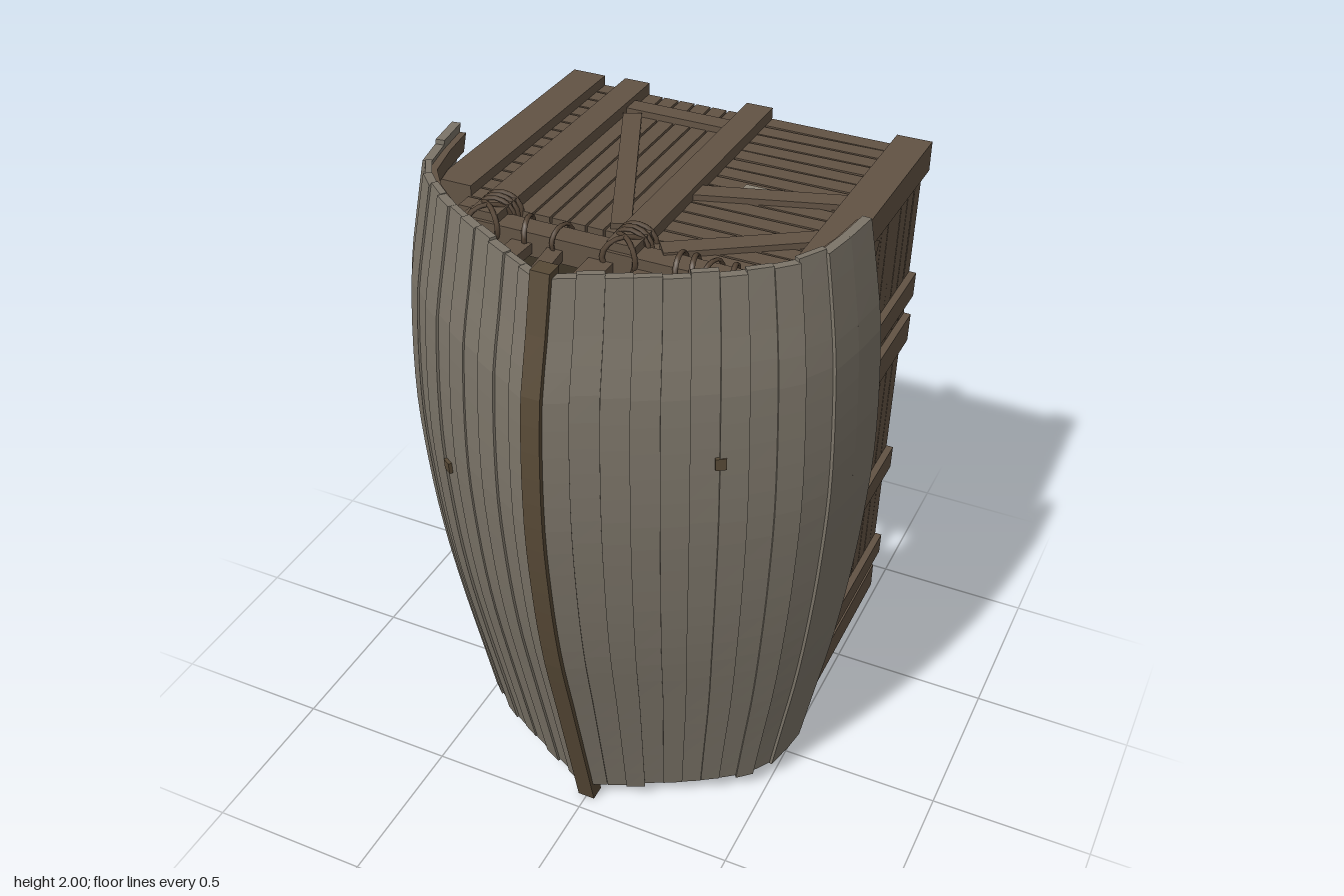
import * as THREE from 'three';

const mat = (name, color) => Object.assign(new THREE.MeshStandardMaterial({ color }), { name });

// Smooth (cubic Hermite) lookup in rows of [key, value...]
function lookup(rows, t, col) {
  let i = 0;
  while (i < rows.length - 2 && t > rows[i + 1][0]) i++;
  const slope = k => {
    const a = rows[Math.max(k - 1, 0)], b = rows[Math.min(k + 1, rows.length - 1)];
    return (b[col] - a[col]) / (b[0] - a[0]);
  };
  const a = rows[i], b = rows[i + 1], d = b[0] - a[0], u = (t - a[0]) / d;
  const h = u * u * (3 - 2 * u);
  return a[col] * (1 - h) + b[col] * h + d * u * (1 - u) * ((1 - u) * slope(i) - u * slope(i + 1));
}

// Hull: height, half width, keel front
const HULL = [[0, 0.52, 0.45], [0.25, 0.565, 0.51], [0.5, 0.61, 0.57], [0.75, 0.645, 0.63], [1, 0.67, 0.67],
  [1.3, 0.685, 0.695], [1.65, 0.67, 0.68], [1.82, 0.645, 0.64], [2, 0.612, 0.6]];
// Plan section from back edge to keel: arc length, x, z
const SECTION = [[0.685, -0.03], [0.668, 0.1], [0.636, 0.24], [0.568, 0.33], [0.46, 0.425], [0.34, 0.505], [0.2, 0.588], [0.02, 0.685]]
  .reduce((out, [x, z]) => {
    const p = out[out.length - 1];
    out.push([p ? p[0] + Math.hypot(x - p[1], z - p[2]) : 0, x, z]);
    return out;
  }, []);
const LENGTH = SECTION[SECTION.length - 1][0];

function hullPoint(t, y) {
  const sx = lookup(HULL, y, 1) / 0.685, sz = (lookup(HULL, y, 2) + 0.03) / 0.725;
  return [lookup(SECTION, t, 1) * sx, -0.03 + (lookup(SECTION, t, 2) + 0.03) * sz];
}

// Depth at which the hull narrows to half width x
function hullDepth(x, y) {
  let t = 0;
  while (t < LENGTH && hullPoint(t, y)[0] > x) t += 0.01;
  return hullPoint(t, y)[1];
}

// Flat-shaded solid through four-cornered rings stacked upward
function loft(rings) {
  const v = [];
  const quad = (a, b, c, d) => v.push(...a, ...b, ...c, ...a, ...c, ...d);
  for (let j = 0; j < rings.length - 1; j++)
    for (let i = 0; i < 4; i++) {
      const n = (i + 1) % 4;
      quad(rings[j][i], rings[j][n], rings[j + 1][n], rings[j + 1][i]);
    }
  quad(...rings[rings.length - 1]);
  quad(...[...rings[0]].reverse());
  const g = new THREE.BufferGeometry();
  g.setAttribute('position', new THREE.Float32BufferAttribute(v, 3));
  g.computeVertexNormals();
  return g;
}

const steps = (y0, y1, n) => Array.from({ length: n + 1 }, (_, i) => y0 + (y1 - y0) * i / n);

// Curved board on the hull between arc lengths a and b
function hullBoard(side, a, b, outer, inner, y0, y1) {
  return loft(steps(y0, y1, Math.ceil((y1 - y0) / 0.08)).map(y => {
    const p = hullPoint(a, y), q = hullPoint(b, y);
    const dx = q[0] - p[0], dz = q[1] - p[1], l = Math.hypot(dx, dz);
    const at = (c, o) => [side * (c[0] + dz / l * o), y, c[1] - dx / l * o];
    const ring = [at(q, outer), at(p, outer), at(p, inner), at(q, inner)];
    return side > 0 ? ring : ring.reverse();
  }));
}

export function createModel() {
  const model = new THREE.Group();
  model.name = 'boatBowCrate';
  const grey = mat('weatheredGrey', 0x7b7468), wood = mat('brownWood', 0x625344);
  const keelWood = mat('keelWood', 0x574936), liner = mat('oliveWood', 0x60543f);
  const ropeMat = mat('rope', 0x554536), pale = mat('paleWood', 0x8d8678);
  let seed = 7;
  const rand = () => (seed = (seed * 16807) % 2147483647) / 2147483647;
  const group = (name, parent = model) => {
    const g = new THREE.Group();
    g.name = name;
    parent.add(g);
    return g;
  };
  const add = (parent, name, geo, m) => {
    const mesh = new THREE.Mesh(geo, m);
    mesh.name = name;
    parent.add(mesh);
    return mesh;
  };
  const box = (parent, name, w, h, d, x, y, z, m = wood) => {
    const mesh = add(parent, name, new THREE.BoxGeometry(w, h, d), m);
    mesh.position.set(x, y, z);
    return mesh;
  };
  // Board lying flat from one plan point to another
  const flatBoard = (parent, name, x0, z0, x1, z1, width, h, y) => {
    const mesh = box(parent, name, width, h, Math.hypot(x1 - x0, z1 - z0), (x0 + x1) / 2, y, (z0 + z1) / 2);
    mesh.rotation.y = Math.atan2(x1 - x0, z1 - z0);
  };

  // Hull planks and inner rims
  const hull = group('hull');
  const seams = [0, 0.13, 0.245, 0.345];
  const narrow = 9;
  for (let i = 1; i <= narrow; i++) seams.push(0.345 + (LENGTH - 0.345) * i / narrow);
  for (const side of [-1, 1]) {
    for (let i = 0; i < seams.length - 1; i++) {
      const out = i < 2 ? 0 : (i % 2 ? 0 : -0.006) - rand() * 0.003;
      const low = 0.062 + rand() * 0.02 - (i > 8 ? 0.012 : 0);
      add(hull, 'hullPlank', hullBoard(side, seams[i], seams[i + 1], out, -0.026, low, 1.97 + rand() * 0.02), grey);
    }
    for (const y of [0.12, 1.9])
      for (let i = 0; i < SECTION.length - 1; i++)
        add(hull, 'hullRim', hullBoard(side, SECTION[i][0], SECTION[i + 1][0], -0.022, -0.045, y, y + 0.06), wood);
  }
  // Knots showing through the planks
  for (const [side, t, y] of [[1, 0.56, 1.44], [-1, 0.58, 1.17]])
    add(hull, 'knot', hullBoard(side, t, t + 0.03, 0.002, -0.028, y, y + 0.035), keelWood);

  // Keel
  add(model, 'keel', loft(steps(0, 2, 25).map(y => {
    const k = lookup(HULL, y, 2), back = k - 0.05;
    return [[0.027, y, k], [0.027, y, back], [-0.027, y, back], [-0.027, y, k]];
  })), keelWood);

  // Crate side walls, leaning slightly outward and running forward to meet the hull
  for (const s of [-1, 1]) {
    const wall = group(s > 0 ? 'leftWall' : 'rightWall');
    wall.position.set(s * 0.487, 1.03, 0);
    wall.rotation.z = -s * 0.018;
    const front = steps(0.23, 1.83, 14).map(y => new THREE.Vector2(hullDepth(0.455 + 0.018 * (y - 1.03), y) - 0.03, y - 1.03));
    const outline = new THREE.Shape([new THREE.Vector2(-0.69, -0.8), ...front, new THREE.Vector2(-0.69, 0.8)]);
    const panel = new THREE.ExtrudeGeometry(outline, { depth: 0.016, bevelEnabled: false });
    add(wall, 'wallPanel', panel.rotateY(-Math.PI / 2).translate(0.008 - s * 0.032, 0, 0), s > 0 ? wood : liner);
    box(wall, 'cornerPost', 0.06, 1.6, 0.05, s * 0.004, 0, -0.665);
    for (let i = 0; i < 13; i++) {
      const slat = box(wall, 'wallSlat', 0.03, 1.58 + rand() * 0.03, 0.055, s * 0.04, 0, -0.6625 + i * 0.059);
      slat.rotation.x = i ? (rand() - 0.5) * 0.012 : 0;
    }
    for (const [y, h] of [[1.41, 0.08], [1.255, 0.095], [0.75, 0.08], [0.38, 0.075]])
      box(wall, 'wallBatten', 0.04, h, 0.76, s * 0.057, y - 1.03, -0.31);
    for (const [z0, y0, z1, y1] of [[-0.04, 1.44, -0.25, 1.79], [0, 0.71, -0.23, 0.4]]) {
      const brace = box(wall, 'wallBrace', 0.02, Math.hypot(z1 - z0, y1 - y0), 0.065, s * 0.06, (y0 + y1) / 2 - 1.03, (z0 + z1) / 2);
      brace.rotation.x = Math.atan2(z1 - z0, y1 - y0);
    }
    for (const z of s > 0 ? [-0.17, -0.24] : [-0.52])
      box(wall, 'wornPatch', 0.004, 0.075, 0.025, s * 0.056, -0.06, z, pale);
  }

  // Roof and floor share one layout; dir points away from the crate
  for (const dir of [1, -1]) {
    const top = dir > 0;
    const deck = group(top ? 'roof' : 'floor');
    deck.position.y = top ? 1.8 : 0.275;
    deck.scale.x = top ? 1 : 0.93;
    deck.rotation.x = top ? -0.018 : 0.008;
    const Y = h => dir * h;
    const panelFront = top ? 0.24 : 0.19, beamFront = top ? 0.13 : 0.05;
    box(deck, 'deckPanel', 1, 0.016, 0.69 + panelFront, 0, Y(0), (panelFront - 0.69) / 2);
    for (const x of [-0.523, 0.523]) box(deck, 'edgeBeam', 0.106, 0.09, 0.69 + beamFront, x, Y(0.05), (beamFront - 0.69) / 2);
    for (const x of [-0.36, 0.043]) box(deck, 'deckBeam', 0.082, 0.06, 0.94, x, Y(0.07), -0.22);
    box(deck, 'crossBeam', 0.86, 0.07, 0.07, 0, Y(0.04), 0.225);
    box(deck, 'backBatten', 0.32, 0.025, 0.06, -0.16, Y(0.072), -0.56);
    for (let i = 0; i < 6; i++) box(deck, 'lengthSlat', 0.046, 0.03, 0.83, -0.296 + i * 0.053, Y(0.05), -0.27);
    for (let i = 0; i < 15; i++) {
      const z = -0.663 + i * 0.059;
      const slat = box(deck, 'crossSlat', 0.4, 0.03, 0.052, 0.275, Y(0.05), z);
      slat.rotation.y = (rand() - 0.5) * 0.02;
      box(deck, 'shortSlat', 0.08, 0.03, 0.052, -0.435, Y(0.05), z);
    }
    flatBoard(deck, 'deckBrace', -0.29, -0.51, -0.02, 0.12, 0.055, 0.02, Y(0.072));
    flatBoard(deck, 'deckBrace', 0.07, -0.14, 0.48, -0.27, 0.06, 0.02, Y(0.072));
    flatBoard(deck, 'deckBrace', 0.13, 0.19, 0.48, -0.05, 0.06, 0.02, Y(0.072));
    if (top) box(deck, 'wornPatch', 0.1, 0.004, 0.03, 0.23, 0.066, -0.245, pale);

    // Struts reaching from the cross beam to the hull
    const reach = lookup(HULL, top ? 1.84 : 0.23, 2) - 0.06;
    for (const [x0, x1, w] of [[-0.33, -0.36, 0.05], [-0.24, -0.25, 0.06], [-0.15, -0.12, 0.045], [-0.01, -0.01, 0.07],
      [0.12, 0.09, 0.045], [0.23, 0.18, 0.04], [0.29, 0.25, 0.035], [0.37, 0.33, 0.04]])
      flatBoard(deck, 'bowStrut', x0, 0.2, x1, reach - Math.abs(x1) * 0.56, w, 0.03, Y(0.03));

    // Rope lashings
    const ropes = group('lashings', deck);
    const loop = (x, z, rx, ry, turn) => {
      const ring = add(ropes, 'ropeLoop', new THREE.TorusGeometry(1, 0.13, 5, 16), ropeMat);
      ring.position.set(x, Y(0.06), z);
      ring.scale.set(rx, ry, 0.06);
      ring.rotation.y = turn;
    };
    for (const x of [-0.36, 0.043]) {
      for (const z of [0.145, 0.165, 0.185]) loop(x, z, 0.055, 0.05, (rand() - 0.5) * 0.3);
      loop(x, 0.225, 0.062, 0.05, 0.7);
      loop(x, 0.225, 0.062, 0.05, -0.7);
    }
    for (const x of [-0.24, -0.14, 0.2, 0.24, 0.29, 0.35]) loop(x, 0.225, 0.045, 0.04, Math.PI / 2 + (rand() - 0.5) * 0.5);
  }
  return model;
}
